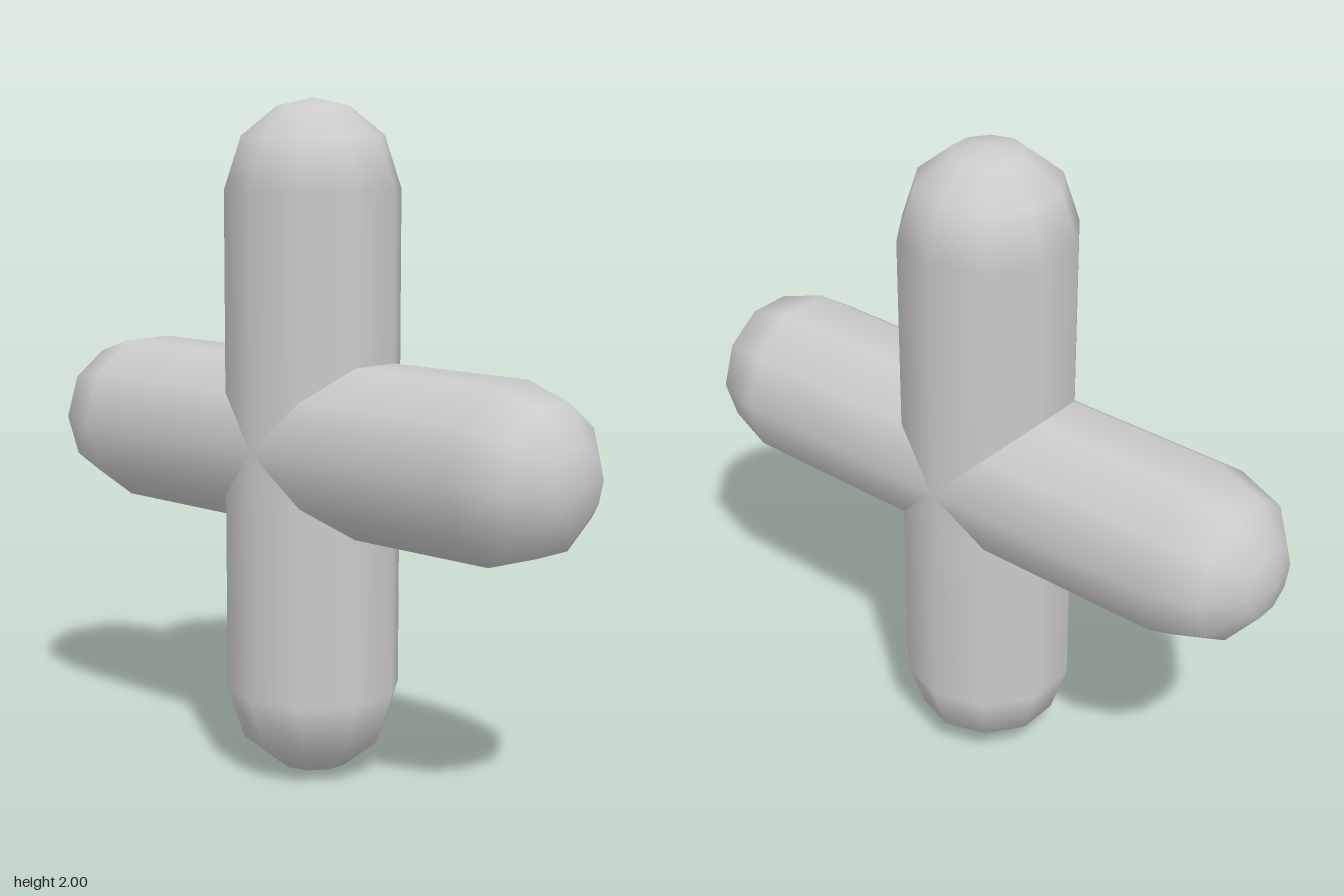
import * as THREE from 'three';

const RADIUS = 0.26;
const HALF = 1; // half length of each bar, tip to tip
const SIDES = 10;

// Ten-sided capsule along y with round ends and smooth normals
function capsuleGeometry() {
  const core = HALF - RADIUS;
  const cap = [RADIUS, 0.21, 0.105, 0].map(
    (r) => new THREE.Vector2(r, core + Math.sqrt(RADIUS * RADIUS - r * r))
  );
  const lower = cap.map((p) => new THREE.Vector2(p.x, -p.y)).reverse();
  const geometry = new THREE.LatheGeometry([...lower, ...cap], SIDES);

  // Normals point away from the nearest point of the core line
  const { position, normal } = geometry.attributes;
  const n = new THREE.Vector3();
  for (let i = 0; i < position.count; i++) {
    n.fromBufferAttribute(position, i);
    n.y -= THREE.MathUtils.clamp(n.y, -core, core);
    n.normalize();
    normal.setXYZ(i, n.x, n.y, n.z);
  }
  return geometry;
}

export function createModel() {
  const model = new THREE.Group();
  model.name = 'roundedCross';
  const material = new THREE.MeshStandardMaterial({ color: 0xcccccc });
  const geometry = capsuleGeometry();

  // Upright bar and crossbar meet at the centre
  for (const [name, turn] of [['uprightBar', 0], ['crossBar', Math.PI / 2]]) {
    const bar = new THREE.Mesh(geometry, material);
    bar.name = name;
    bar.position.y = HALF;
    bar.rotation.z = turn;
    model.add(bar);
  }
  return model;
}
